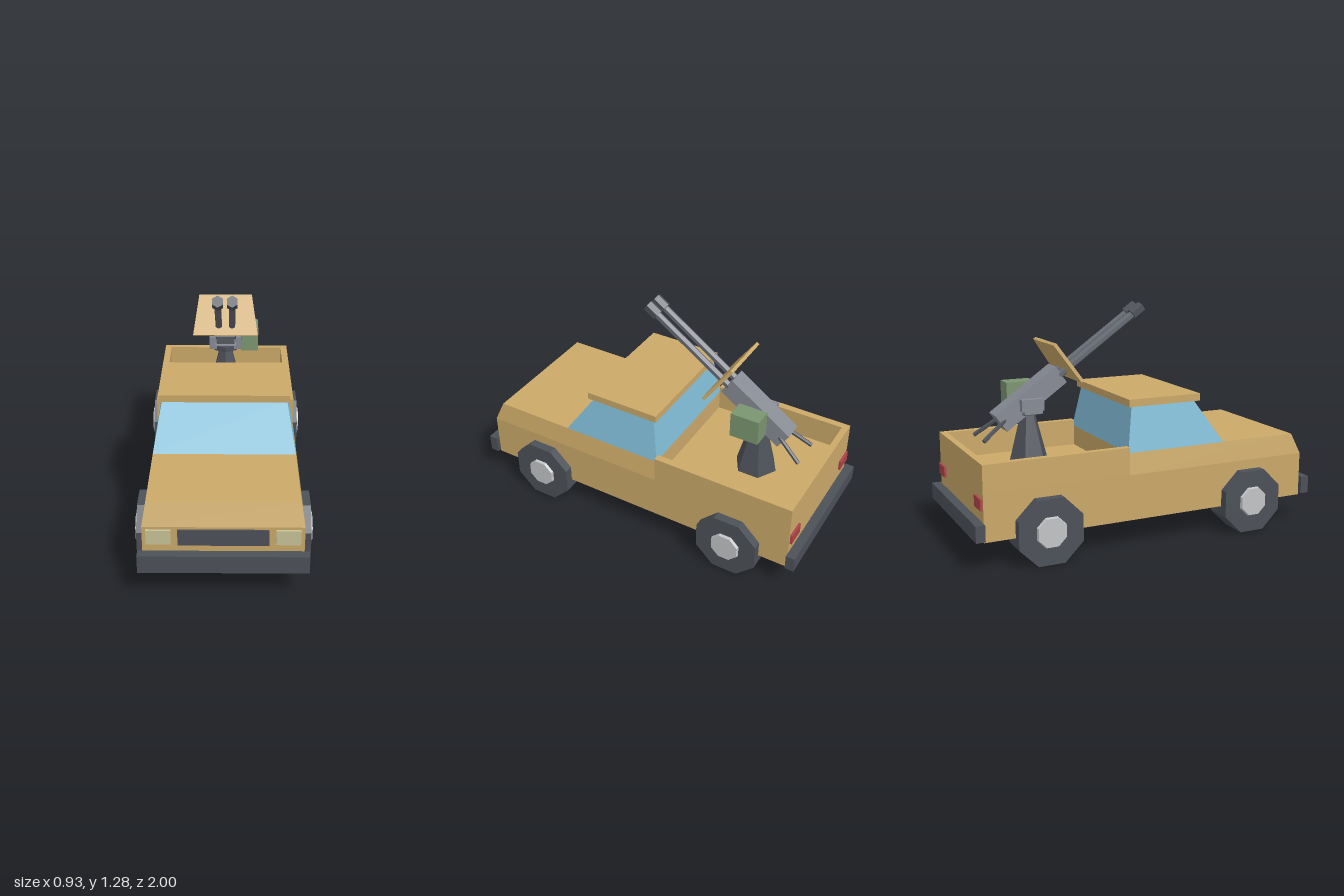
import * as THREE from 'three';

const mat = (name, color) => {
  const m = new THREE.MeshStandardMaterial({ color });
  m.name = name;
  return m;
};

export function createModel() {
  const sand = mat('sand paint', 0xcaa868);
  const dark = mat('dark rubber', 0x4c5158);
  const glass = mat('blue glass', 0x7fbcd6);
  const steel = mat('gun steel', 0x868a94);
  const barrelGrey = mat('barrel grey', 0x656972);
  const hubGrey = mat('hub silver', 0xc2c3c6);
  const lamp = mat('headlight cream', 0xc8c296);
  const red = mat('tail light red', 0xb04548);
  const green = mat('ammo green', 0x7a9570);

  const model = new THREE.Group();
  model.name = 'gunTruck';

  // Adds a mesh with hard facets
  const add = (parent, name, geo, material) => {
    const flat = geo.index ? geo.toNonIndexed() : geo;
    flat.computeVertexNormals();
    const mesh = new THREE.Mesh(flat, material);
    mesh.name = name;
    parent.add(mesh);
    return mesh;
  };

  // Box given by its limits on each axis
  const box = (x0, x1, y0, y1, z0, z1) =>
    new THREE.BoxGeometry(x1 - x0, y1 - y0, z1 - z0)
      .translate((x0 + x1) / 2, (y0 + y1) / 2, (z0 + z1) / 2);

  // Box whose bottom and top rectangles differ: [halfWidth, zBack, zFront]
  const taper = (y0, y1, bottom, top) => {
    const geo = new THREE.BoxGeometry(2, 1, 1);
    const p = geo.attributes.position;
    for (let i = 0; i < p.count; i++) {
      const up = p.getY(i) > 0;
      const [w, back, front] = up ? top : bottom;
      p.setXYZ(i, Math.sign(p.getX(i)) * w, up ? y1 : y0, p.getZ(i) > 0 ? front : back);
    }
    return geo;
  };

  // Body, hood and cab
  add(model, 'lowerBody', box(-0.4, 0.4, 0.155, 0.405, -0.95, 0.95), sand);
  add(model, 'hood', taper(0.405, 0.52, [0.4, -0.145, 0.95], [0.38, -0.145, 0.9]), sand);
  add(model, 'cabGlass', taper(0.52, 0.76, [0.38, -0.145, 0.44], [0.335, -0.105, 0.275]), glass);
  add(model, 'roof', box(-0.35, 0.35, 0.76, 0.8, -0.125, 0.305), sand);

  // Cargo bed walls
  for (const s of [-1, 1]) {
    add(model, 'bedSide', box(-0.02, 0.02, 0.405, 0.555, -0.95, -0.145).translate(s * 0.38, 0, 0), sand);
  }
  add(model, 'tailgate', box(-0.36, 0.36, 0.405, 0.555, -0.95, -0.915), sand);

  // Bumpers, grille and lights
  add(model, 'frontBumper', box(-0.425, 0.425, 0.168, 0.266, 0.95, 1), dark);
  add(model, 'rearBumper', box(-0.425, 0.425, 0.168, 0.256, -1, -0.95), dark);
  add(model, 'grille', box(-0.225, 0.225, 0.302, 0.392, 0.95, 0.958), dark);
  for (const s of [-1, 1]) {
    add(model, 'headlight', box(-0.061, 0.061, 0.312, 0.392, 0.95, 0.965).translate(s * 0.319, 0, 0), lamp);
    add(model, 'tailLight', box(-0.053, 0.053, 0.318, 0.378, -0.962, -0.95).translate(s * 0.336, 0, 0), red);
  }

  // Octagonal wheels, outer end towards +x before mirroring
  const disc = (rOut, rIn, x0, x1) =>
    new THREE.CylinderGeometry(rIn, rOut, x1 - x0, 8)
      .rotateY(Math.PI / 8).rotateZ(Math.PI / 2).translate((x0 + x1) / 2, 0, 0);
  for (const z of [0.6, -0.61]) {
    for (const s of [-1, 1]) {
      const wheel = new THREE.Group();
      wheel.name = 'wheel';
      wheel.position.set(s * 0.372, 0.176, z);
      wheel.rotation.y = s > 0 ? 0 : Math.PI;
      add(wheel, 'tyre', disc(0.19, 0.19, -0.077, 0.077), dark);
      add(wheel, 'hub', disc(0.082, 0.09, 0.07, 0.092), hubGrey);
      model.add(wheel);
    }
  }

  // Pedestal, cradle and ammunition box
  add(model, 'pedestal', new THREE.CylinderGeometry(0.04, 0.12, 0.305, 6).translate(0, 0.557, -0.565), dark);
  add(model, 'turntable', new THREE.CylinderGeometry(0.08, 0.08, 0.03, 6).translate(0, 0.72, -0.565), dark);
  add(model, 'cradleBase', box(-0.1, 0.1, 0.715, 0.74, -0.615, -0.515), steel);
  for (const s of [-1, 1]) {
    add(model, 'cradleArm', box(-0.018, 0.018, 0.73, 0.795, -0.63, -0.505).translate(s * 0.08, 0, 0), steel);
  }
  add(model, 'ammoBox', box(0.095, 0.198, 0.717, 0.86, -0.648, -0.486), green);

  // Twin gun, built along +z and then raised
  const gun = new THREE.Group();
  gun.name = 'twinGun';
  gun.position.set(0, 0.79, -0.56);
  gun.rotation.x = -THREE.MathUtils.degToRad(35);
  model.add(gun);
  add(gun, 'receiver', box(-0.055, 0.055, -0.055, 0.055, -0.21, 0.21), steel);
  add(gun, 'shield', taper(-0.06, 0.187, [0.19, 0.243, 0.261], [0.155, 0.243, 0.261]), sand);

  const rod = (r, z0, z1) =>
    new THREE.CylinderGeometry(r, r, z1 - z0, 6).rotateX(Math.PI / 2).translate(0, 0, (z0 + z1) / 2);
  for (const s of [-1, 1]) {
    add(gun, 'barrel', rod(0.021, 0.2, 0.76).translate(s * 0.039, 0, 0), barrelGrey);
    add(gun, 'muzzle', rod(0.033, 0.733, 0.808).translate(s * 0.039, 0, 0), dark);
    // Grips flare outwards behind the receiver
    const grip = add(gun, 'grip', rod(0.012, -0.17, 0), dark);
    grip.position.set(s * 0.045, 0, -0.18);
    grip.rotation.y = -s * 0.26;
  }

  return model;
}
